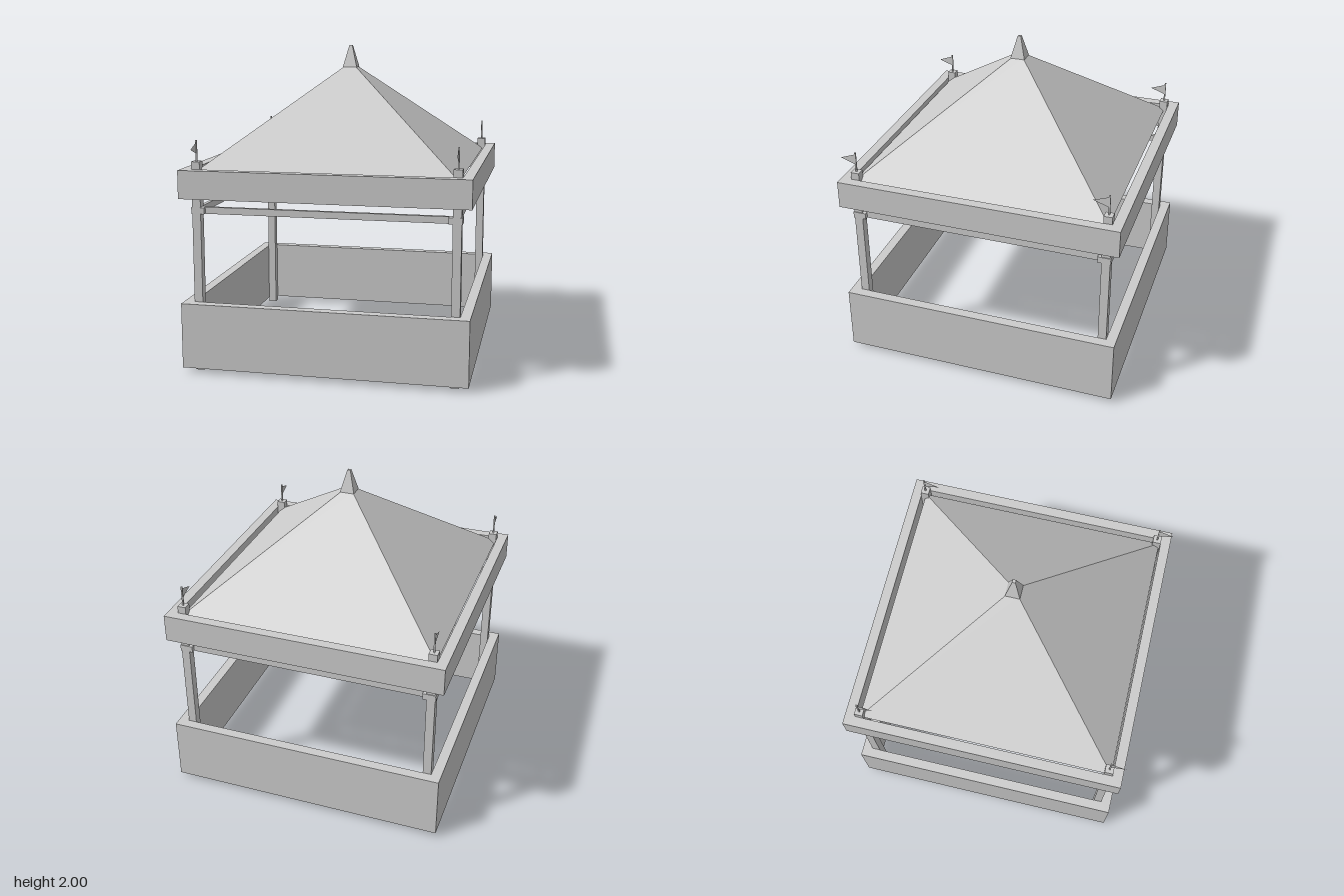
import * as THREE from 'three';

const material = new THREE.MeshStandardMaterial({ color: 0xcccccc, flatShading: true });
const thin = new THREE.MeshStandardMaterial({ color: 0xcccccc, flatShading: true, side: THREE.DoubleSide });

function add(parent, name, geometry, x = 0, y = 0, z = 0, mat = material) {
  const mesh = new THREE.Mesh(geometry, mat);
  mesh.name = name;
  mesh.position.set(x, y, z);
  parent.add(mesh);
  return mesh;
}

// Square ring with an open middle, standing from y0 to y1
function squareRing(outer, inner, y0, y1) {
  const square = (r) => [[-r, -r], [r, -r], [r, r], [-r, r]].map(([x, y]) => new THREE.Vector2(x, y));
  const shape = new THREE.Shape(square(outer));
  shape.holes.push(new THREE.Path(square(inner).reverse()));
  return new THREE.ExtrudeGeometry(shape, { depth: y1 - y0, bevelEnabled: false })
    .rotateX(-Math.PI / 2).translate(0, y0, 0);
}

// Four-sided frustum aligned with the axes, sizes given as half widths
function squareFrustum(bottom, top, y0, y1) {
  return new THREE.CylinderGeometry(top * Math.SQRT2, bottom * Math.SQRT2, y1 - y0, 4)
    .rotateY(Math.PI / 4).translate(0, (y0 + y1) / 2, 0);
}

export function createModel() {
  const model = new THREE.Group();
  model.name = 'marketPavilion';

  const frame = new THREE.Group();
  frame.name = 'frame';
  frame.position.set(-0.002, 0, -0.002);
  model.add(frame);

  // Counter walls and the valance under the roof
  add(frame, 'counterWall', squareRing(0.888, 0.825, 0.03, 0.44));
  add(frame, 'valance', squareRing(0.888, 0.825, 1.095, 1.27));

  // Corner posts with rail brackets, flag poles and pennants
  const P = 0.797;
  const pennant = new THREE.Shape([[0, 1.433], [0.098, 1.397], [0, 1.362]].map(([x, y]) => new THREE.Vector2(x, y)));
  for (const sx of [-1, 1]) {
    for (const sz of [-1, 1]) {
      const corner = new THREE.Group();
      corner.name = 'corner';
      corner.position.set(sx * P, 0, sz * P);
      frame.add(corner);
      add(corner, 'post', new THREE.BoxGeometry(0.053, 1.316, 0.053), 0, 0.658, 0);
      add(corner, 'railBracketX', new THREE.BoxGeometry(0.08, 0.04, 0.045), -sx * 0.01, 1.015, sz * 0.009);
      add(corner, 'railBracketZ', new THREE.BoxGeometry(0.045, 0.04, 0.08), sx * 0.009, 1.015, -sz * 0.01);
      add(corner, 'flagPole', new THREE.BoxGeometry(0.009, 0.13, 0.009), 0, 1.38, 0);
      add(corner, 'pennant', new THREE.ShapeGeometry(pennant).rotateY(-Math.PI / 2), 0, 0, 0, thin);
    }
  }

  // Rails between the posts
  for (const s of [-1, 1]) {
    add(frame, 'railX', new THREE.BoxGeometry(2 * P, 0.042, 0.026), 0, 1.015, s * 0.79);
    add(frame, 'railZ', new THREE.BoxGeometry(0.026, 0.042, 2 * P), s * 0.79, 1.015, 0);
  }

  // Pyramid roof and its finial
  const roof = new THREE.Group();
  roof.name = 'roof';
  roof.position.set(-0.006, 0, 0.006);
  model.add(roof);
  add(roof, 'canopy', squareFrustum(0.808, 0.035, 1.245, 1.865));
  add(roof, 'finial', squareFrustum(0.046, 0.01, 1.86, 2.0));

  return model;
}
